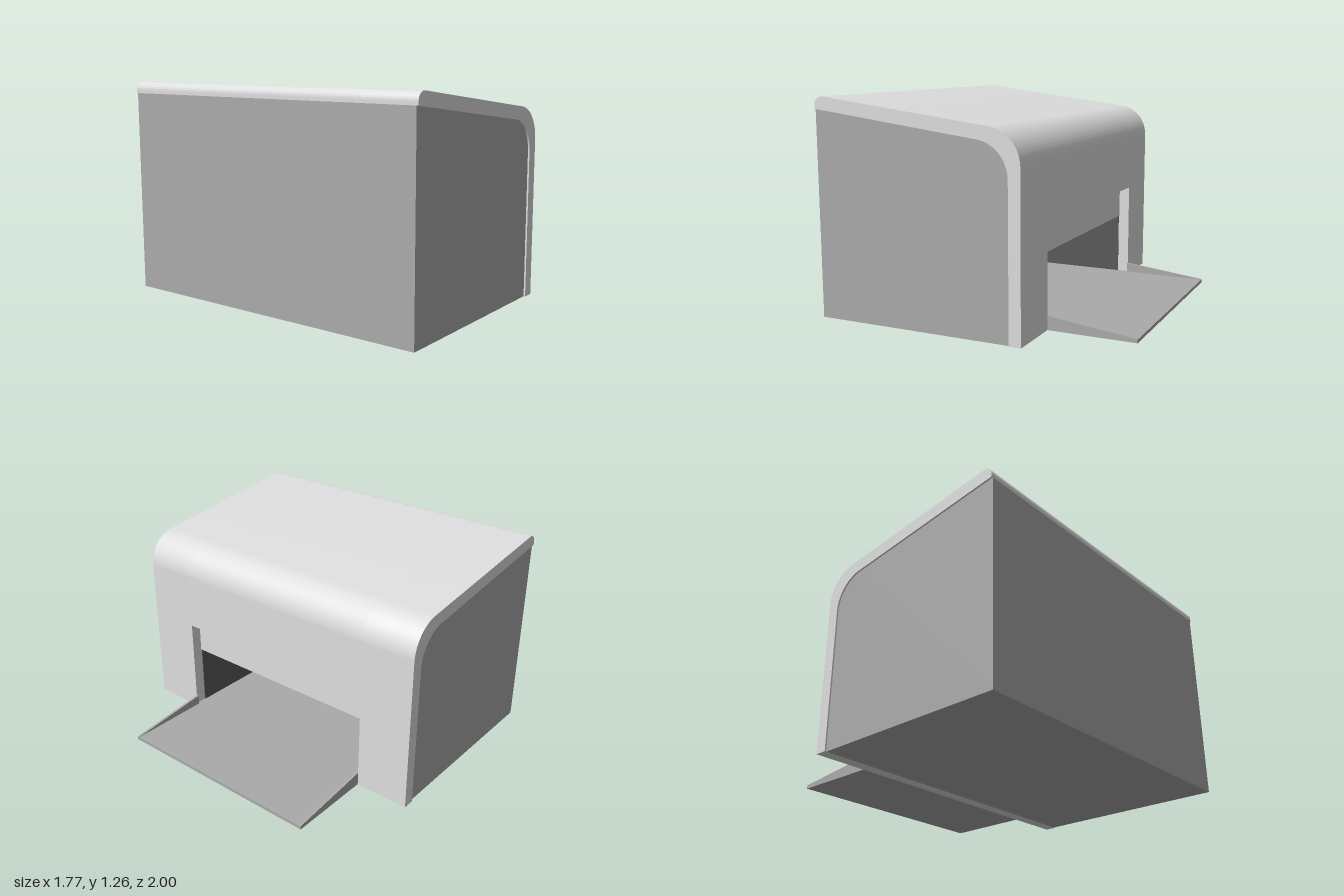
import * as THREE from 'three';
import { toCreasedNormals } from 'three/addons/utils/BufferGeometryUtils.js';

const mat = (name, color) => {
  const m = new THREE.MeshStandardMaterial({ color });
  m.name = name;
  return m;
};

export function createModel() {
  const group = new THREE.Group();
  const light = mat('light grey', 0xdddddd);
  const grey = mat('mid grey', 0xaaaaaa);
  const dark = mat('dark grey', 0x585858);

  const BACK = -0.89, FRONT = 0.37, INNER = 0.30; // x positions
  const HALF = 0.67;                              // half width of the opening
  const TILT = 1.447;                             // direction of the roof normal
  const CAVITY = -0.6;                            // x of the cavity's rear wall

  const add = (name, geometry, material) => {
    const mesh = new THREE.Mesh(geometry, material);
    mesh.name = name;
    group.add(mesh);
    return mesh;
  };
  const box = (name, material, x0, x1, y0, y1, z0, z1) =>
    add(name, new THREE.BoxGeometry(x1 - x0, y1 - y0, z1 - z0), material)
      .position.set((x0 + x1) / 2, (y0 + y1) / 2, (z0 + z1) / 2);
  // Extrude an x-y profile between two z positions
  const slab = (name, material, shape, z0, z1) => {
    const g = new THREE.ExtrudeGeometry(shape, { depth: z1 - z0, bevelEnabled: false, curveSegments: 20 });
    g.translate(0, 0, z0);
    add(name, toCreasedNormals(g, 0.5), material);
  };

  // Bent cover: front wall from height y0, curving into the sloping roof
  const coverShape = (y0) => {
    const s = new THREE.Shape();
    s.moveTo(INNER, y0);
    s.lineTo(FRONT, y0);
    s.absarc(0.17, 0.932, 0.2, 0, TILT, false);
    s.absarc(-0.84, 1.2085, 0.05, TILT, Math.PI, false);
    s.lineTo(BACK, 1.19);
    s.absarc(0.10, 0.863, 0.2, TILT, 0, true);
    s.closePath();
    return s;
  };

  // Body under the cover, optionally notched for the cavity
  const bodyShape = (notched) => {
    const s = new THREE.Shape();
    s.moveTo(BACK, 0);
    s.lineTo(INNER, 0);
    if (notched) {
      s.lineTo(INNER, 0.01);
      s.lineTo(CAVITY, 0.01);
      s.lineTo(CAVITY, 0.4);
      s.lineTo(INNER, 0.4);
    }
    s.absarc(0.10, 0.863, 0.2, 0, TILT, false);
    s.lineTo(BACK, 1.19);
    s.closePath();
    return s;
  };

  slab('coverMiddle', light, coverShape(0.6), -HALF, HALF);
  slab('bodyMiddle', grey, bodyShape(true), -HALF, HALF);
  box('coverSill', light, INNER, FRONT, 0, 0.01, -HALF, HALF);
  box('openingPanel', light, INNER - 0.002, INNER + 0.004, 0.4, 0.6, -HALF, HALF);

  // Dark lining of the cavity
  box('cavityBack', dark, CAVITY, CAVITY + 0.006, 0.01, 0.4, -HALF, HALF);
  box('cavityCeiling', dark, CAVITY, INNER - 0.004, 0.394, 0.399, -HALF, HALF);

  // Tray: inner floor and outer plate
  box('trayFloor', grey, CAVITY, FRONT, 0.01, 0.02, -HALF, HALF);
  box('trayPlate', grey, FRONT, 0.885, 0, 0.02, -HALF, HALF);

  // Tapered side rail of the tray
  const rail = new THREE.Shape();
  rail.moveTo(FRONT, 0.01);
  rail.lineTo(0.885, 0.01);
  rail.lineTo(0.885, 0.021);
  rail.lineTo(FRONT, 0.08);
  rail.closePath();

  // Parts repeated at both ends
  for (const side of [-1, 1]) {
    const span = (a, b) => (side > 0 ? [a, b] : [-b, -a]);
    slab('coverEnd', light, coverShape(0), ...span(HALF, 1));
    slab('bodyEnd', grey, bodyShape(false), ...span(HALF, 0.99));
    box('cavitySide', dark, CAVITY, INNER, 0.01, 0.4, ...span(HALF - 0.005, HALF));
    slab('trayRail', grey, rail, ...span(HALF - 0.015, HALF));
  }
  return group;
}
